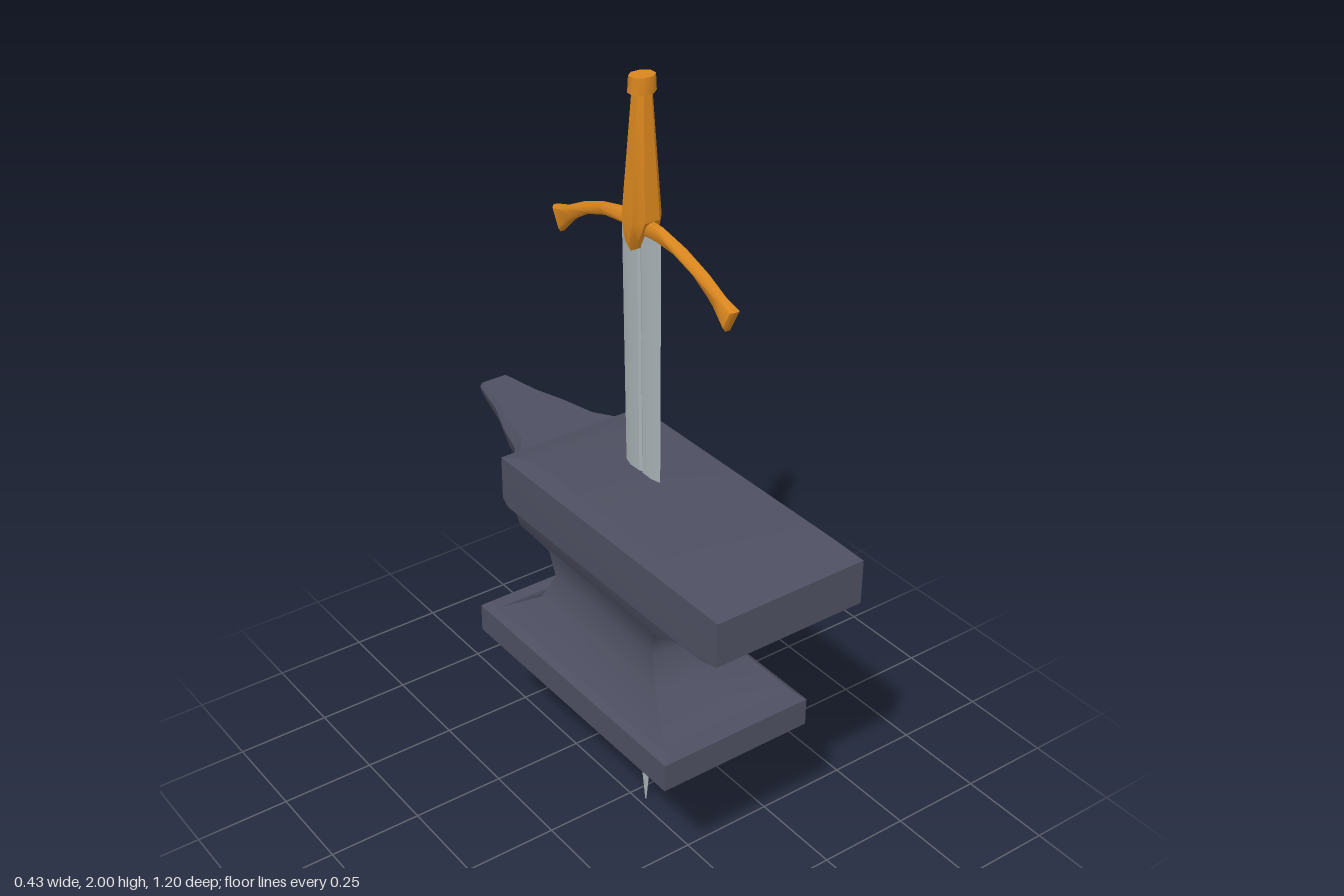
import * as THREE from 'three';
import { toCreasedNormals } from 'three/addons/utils/BufferGeometryUtils.js';

// Skin a list of equal-length rings of [x, y, z] points, with both ends capped
function loft(rings, crease) {
  const n = rings[0].length;
  const tris = [];
  for (let i = 0; i < rings.length - 1; i++) {
    for (let j = 0; j < n; j++) {
      const k = (j + 1) % n;
      const a = rings[i][j], b = rings[i][k], c = rings[i + 1][k], d = rings[i + 1][j];
      tris.push([a, b, c], [a, c, d]);
    }
  }
  const centre = (r) => [0, 1, 2].map((m) => r.reduce((s, p) => s + p[m], 0) / n);
  const first = rings[0], last = rings[rings.length - 1];
  const c0 = centre(first), c1 = centre(last);
  for (let j = 0; j < n; j++) {
    const k = (j + 1) % n;
    tris.push([c0, first[k], first[j]], [c1, last[j], last[k]]);
  }
  // Turn the faces outward if the enclosed volume comes out negative
  const va = new THREE.Vector3(), vb = new THREE.Vector3(), vc = new THREE.Vector3();
  let volume = 0;
  for (const [a, b, c] of tris) {
    volume += va.fromArray(a).dot(vb.fromArray(b).cross(vc.fromArray(c)));
  }
  if (volume < 0) tris.forEach((t) => t.reverse());
  const geo = new THREE.BufferGeometry();
  geo.setAttribute('position', new THREE.Float32BufferAttribute(tris.flat(2), 3));
  geo.computeVertexNormals();
  return toCreasedNormals(geo, crease);
}

// Rectangular horizontal ring: height, half width, back z, front z
const rect = ([y, w, z0, z1]) => [[-w, y, z0], [w, y, z0], [w, y, z1], [-w, y, z1]];

export function createModel() {
  const iron = new THREE.MeshStandardMaterial({ color: 0x4e5062 });
  iron.name = 'darkIron';
  const gold = new THREE.MeshStandardMaterial({ color: 0xd9861e });
  gold.name = 'gold';
  const steel = new THREE.MeshStandardMaterial({ color: 0xa8b2b5 });
  steel.name = 'steel';

  const model = new THREE.Group();
  const anvil = new THREE.Group();
  anvil.name = 'anvil';
  const sword = new THREE.Group();
  sword.name = 'sword';
  model.add(anvil, sword);
  const add = (parent, name, geo, mat) => {
    const mesh = new THREE.Mesh(geo, mat);
    mesh.name = name;
    parent.add(mesh);
    return mesh;
  };

  // Foot slab
  add(anvil, 'foot', loft([
    [0.415, 0.213, -0.36, 0.43], [0.49, 0.213, -0.36, 0.43], [0.503, 0.195, -0.345, 0.415],
  ].map(rect), 0.5), iron);

  // Flared waist between the foot and the table
  add(anvil, 'waist', loft([
    [0.495, 0.19, -0.32, 0.4], [0.575, 0.13, -0.2, 0.28], [0.65, 0.11, -0.165, 0.24],
    [0.72, 0.118, -0.18, 0.255], [0.785, 0.165, -0.235, 0.34], [0.87, 0.187, -0.24, 0.54],
  ].map(rect), 0.75), iron);

  // Table with bevelled edges
  add(anvil, 'table', loft([
    [0.858, 0.205, -0.225, 0.54], [0.875, 0.206, -0.245, 0.6],
    [0.99, 0.206, -0.245, 0.6], [1.018, 0.18, -0.15, 0.52],
  ].map(rect), 0.5), iron);

  // Horn: z, half width, underside height, top height
  const horn = [
    [-0.12, 0.11, 0.7, 0.98], [-0.18, 0.14, 0.72, 0.98], [-0.25, 0.172, 0.772, 0.98],
    [-0.31, 0.125, 0.81, 0.98], [-0.4, 0.1, 0.843, 0.98], [-0.49, 0.066, 0.88, 0.98],
    [-0.6, 0.042, 0.92, 0.98],
  ].map(([z, w, lo, hi]) => {
    const h = hi - lo;
    const half = [[0.85, hi], [1, hi - h * 0.15], [0.85, hi - h * 0.55], [0.4, lo]];
    return [
      ...half.map(([f, y]) => [f * w, y, z]),
      ...half.reverse().map(([f, y]) => [-f * w, y, z]),
    ];
  });
  add(anvil, 'horn', loft(horn, 0.7), iron);

  // Blade: height, half width, half thickness; it leans slightly sideways
  const cz = 0.042;
  const blade = [
    [0.005, 0.002, 0.001], [0.36, 0.053, 0.007], [0.42, 0.058, 0.007],
    [1.02, 0.067, 0.007], [1.65, 0.073, 0.007],
  ].map(([y, w, t]) => {
    const x = 0.02 * (1 - y / 1.6);
    const side = [[-0.6, 1], [-0.1, 0.9], [0, 0.35], [0.1, 0.9], [0.6, 1]];
    return [
      [x, y, cz - w],
      ...side.map(([f, d]) => [x + d * t, y, cz + f * w]),
      [x, y, cz + w],
      ...side.reverse().map(([f, d]) => [x - d * t, y, cz + f * w]),
    ];
  });
  add(sword, 'blade', loft(blade, 0.4), steel);

  // Grip: height, half width in x, half width in z
  const grip = [
    [1.6, 0.03, 0.002], [1.625, 0.039, 0.016], [1.675, 0.04, 0.04], [1.97, 0.02, 0.02],
  ].map(([y, wx, wz]) => [
    [1, 0.5], [0.5, 1], [-0.5, 1], [-1, 0.5], [-1, -0.5], [-0.5, -1], [0.5, -1], [1, -0.5],
  ].map(([a, b]) => [a * wx, y, cz + b * wz]));
  add(sword, 'grip', loft(grip, 0.5), gold);

  // Pommel
  const pommelGeo = new THREE.CylinderGeometry(0.032, 0.034, 0.038, 8).rotateY(Math.PI / 8);
  const pommel = add(sword, 'pommel', toCreasedNormals(pommelGeo, 0.9), gold);
  pommel.scale.z = 0.8;
  pommel.position.set(0, 1.981, cz);

  // Curved crossguard with flared, downturned ends
  const outline = [
    [0, 1.675], [0.07, 1.672], [0.15, 1.654], [0.23, 1.625], [0.29, 1.595], [0.34, 1.58],
    [0.31, 1.523], [0.268, 1.565], [0.25, 1.578], [0.2, 1.608], [0.13, 1.631], [0.06, 1.638],
    [0, 1.635],
  ];
  const mirrored = outline.slice(1, -1).reverse().map(([u, y]) => [-u, y]);
  const shape = new THREE.Shape([...outline, ...mirrored].map(([u, y]) => new THREE.Vector2(u, y)));
  const guardGeo = new THREE.ExtrudeGeometry(shape, {
    depth: 0.012, bevelEnabled: true, bevelSegments: 1,
    bevelThickness: 0.007, bevelSize: 0.007, bevelOffset: -0.007,
  });
  guardGeo.translate(0, 0, -0.006).rotateY(Math.PI / 2);
  const guard = add(sword, 'crossguard', toCreasedNormals(guardGeo, 0.8), gold);
  guard.position.z = cz;

  return model;
}
